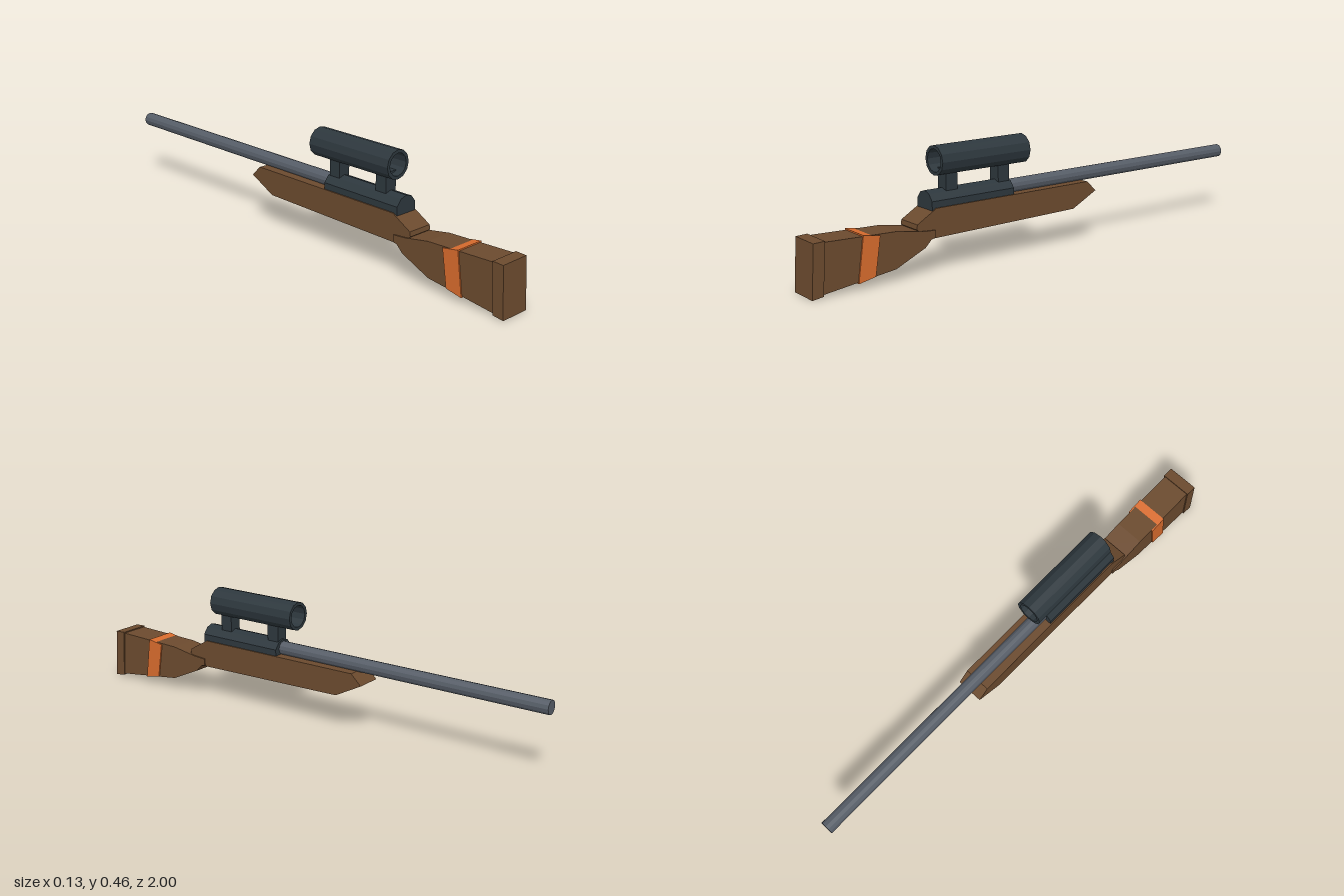
import * as THREE from 'three';

const material = (name, color) => {
  const m = new THREE.MeshStandardMaterial({ color, flatShading: true });
  m.name = name;
  return m;
};

// Side profile given as [z, y] points, extruded across x and centred.
function sideExtrude(points, halfWidth) {
  const shape = new THREE.Shape(points.map(([z, y]) => new THREE.Vector2(-z, y)));
  const geo = new THREE.ExtrudeGeometry(shape, { depth: halfWidth * 2, bevelEnabled: false });
  return geo.translate(0, 0, -halfWidth).rotateY(Math.PI / 2);
}

// Cross-section in x and y, extruded from z0 to z1.
function lengthExtrude(shape, z0, z1) {
  const geo = new THREE.ExtrudeGeometry(shape, { depth: z1 - z0, bevelEnabled: false });
  return geo.translate(0, 0, z0);
}

const polygon = (radius, sides) => Array.from({ length: sides }, (_, i) => {
  const a = (i / sides) * Math.PI * 2;
  return new THREE.Vector2(Math.cos(a) * radius, Math.sin(a) * radius);
});

export function createModel() {
  const group = new THREE.Group();
  group.name = 'scopedRifle';
  const wood = material('walnut wood', 0x6b4a2e);
  const darkMetal = material('dark metal', 0x2d373d);
  const steel = material('barrel steel', 0x565d67);
  const orange = material('orange band', 0xd76b2d);

  const add = (name, geo, mat) => {
    const mesh = new THREE.Mesh(geo, mat);
    mesh.name = name;
    group.add(mesh);
    return mesh;
  };

  // Shoulder stock with its narrow grip running into the fore stock
  add('shoulderStock', sideExtrude([
    [0.97, 0.194], [0.66, 0.184], [0.553, 0.166], [0.5, 0.162],
    [0.5, 0.134], [0.516, 0.131], [0.543, 0.104], [0.666, 0.048], [0.97, 0.009],
  ], 0.058), wood);

  // Butt plate, leaning slightly
  add('buttPlate', sideExtrude([
    [0.988, 0.196], [1, 0], [0.956, 0.006], [0.944, 0.198],
  ], 0.0625), wood);

  // Slanted band around the stock
  add('stockBand', sideExtrude([
    [0.797, 0.193], [0.73, 0.182], [0.752, 0.038], [0.82, 0.024],
  ], 0.063), orange);

  // Fore stock
  add('foreStock', sideExtrude([
    [0.572, 0.192], [0.49, 0.24], [-0.217, 0.241], [-0.26, 0.2],
    [-0.147, 0.142], [0.52, 0.131], [0.575, 0.174],
  ], 0.0527), wood);

  // Receiver with arched top
  const arch = [
    [-0.044, 0.226], [0.044, 0.226], [0.048, 0.232], [0.048, 0.265],
    [0.028, 0.29], [0, 0.299], [-0.028, 0.29], [-0.048, 0.265], [-0.048, 0.232],
  ].map(([x, y]) => new THREE.Vector2(x, y));
  add('receiver', lengthExtrude(new THREE.Shape(arch), 0.14, 0.505), darkMetal);

  // Barrel
  const barrel = add('barrel', new THREE.CylinderGeometry(0.027, 0.027, 1.16, 12), steel);
  barrel.rotation.x = Math.PI / 2;
  barrel.position.set(0, 0.263, -0.42);

  // Hollow scope tube
  const ring = new THREE.Shape(polygon(0.056, 12));
  ring.holes.push(new THREE.Path(polygon(0.043, 12)));
  add('scopeTube', lengthExtrude(ring, 0.067, 0.462), darkMetal).position.y = 0.402;

  // Scope mounts, reaching into the tube
  for (const [name, z] of [['rearScopeMount', 0.405], ['frontScopeMount', 0.171]]) {
    add(name, new THREE.BoxGeometry(0.052, 0.09, 0.05), darkMetal).position.set(0, 0.324, z);
  }

  return group;
}
